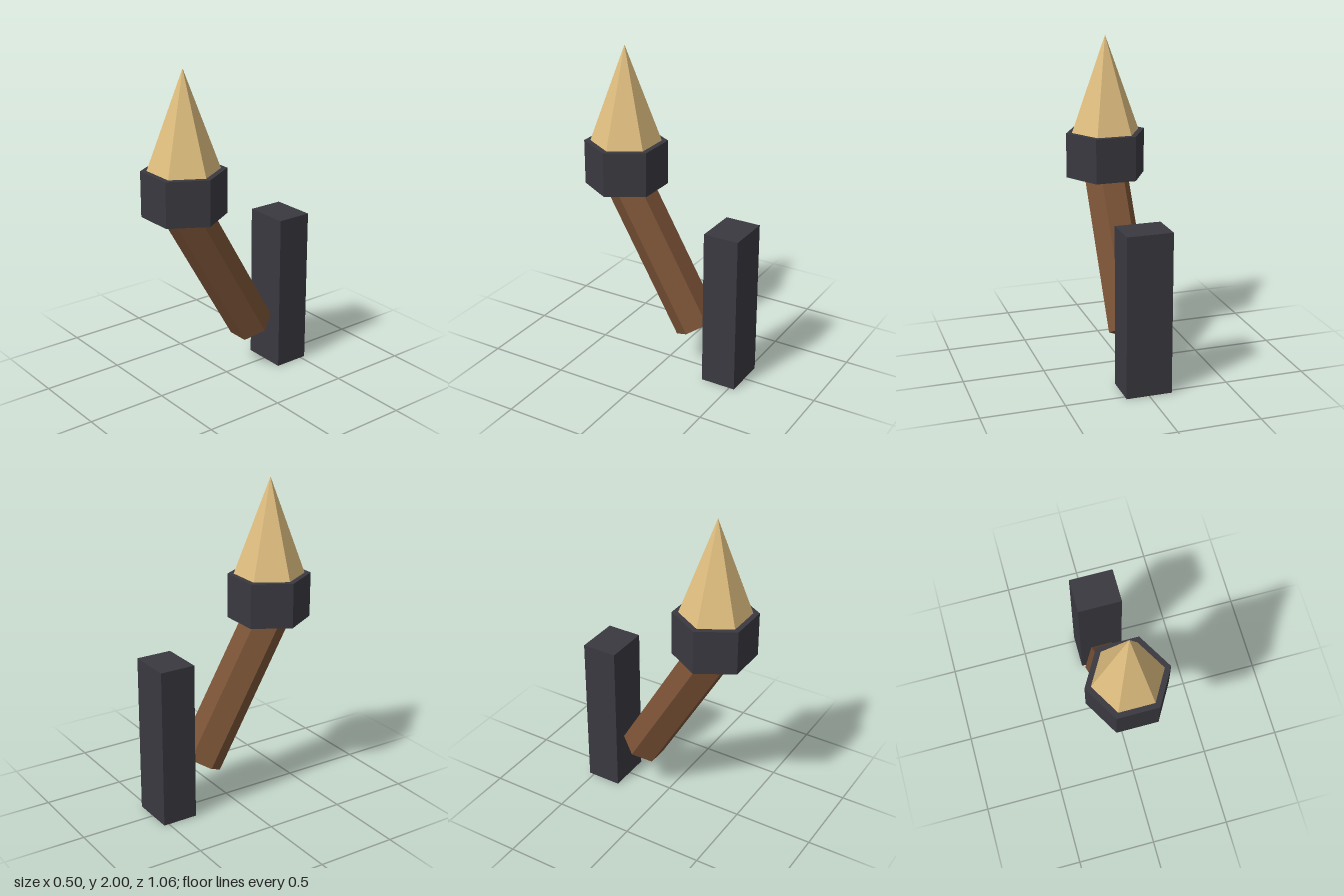
import * as THREE from 'three';

const material = (name, color) => {
  const m = new THREE.MeshStandardMaterial({ color, flatShading: true });
  m.name = name;
  return m;
};

export function createModel() {
  const group = new THREE.Group();
  group.name = 'wallTorch';

  const iron = material('dark iron', 0x3a3940);
  const wood = material('brown wood', 0x7a5236);
  const flameColor = material('pale flame', 0xdfbe7f);

  const add = (name, geometry, mat, y, z) => {
    const mesh = new THREE.Mesh(geometry, mat);
    mesh.name = name;
    mesh.position.set(0, y, z);
    group.add(mesh);
    return mesh;
  };
  // six-sided prism or cone with corners pointing along x
  const hex = (top, bottom, height) =>
    new THREE.CylinderGeometry(top, bottom, height, 6, 1, false, Math.PI / 6);

  // upright wall bracket
  add('wallBracket', new THREE.BoxGeometry(0.28, 0.99, 0.222), iron, 0.495, -0.421);

  // handle leaning forward, its top end hidden in the collar
  const tilt = Math.PI / 6, length = 1.1;
  const handle = add('handle', hex(0.14, 0.14, length), wood,
    0.285 + (length / 2) * Math.cos(tilt), -0.195 + (length / 2) * Math.sin(tilt));
  handle.rotation.x = tilt;

  // collar and flame
  add('collar', hex(0.252, 0.252, 0.278), iron, 1.27, 0.31);
  add('flame', hex(0, 0.215, 0.591), flameColor, 1.7045, 0.31);

  return group;
}
